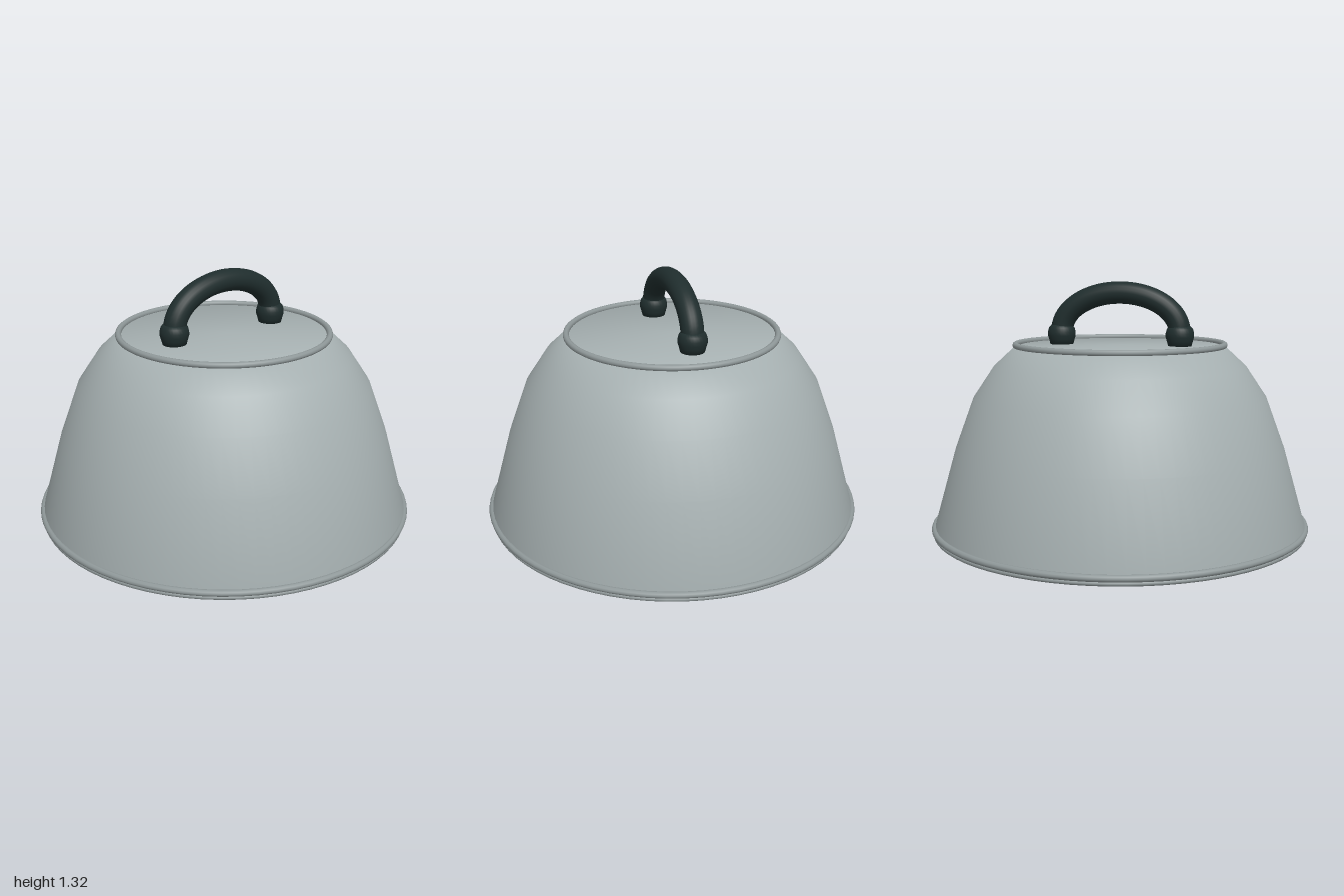
import * as THREE from 'three';

const SEGMENTS = 72;

// Lathe whose normals blend neighbouring profile segments equally, for a soft shoulder
function softLathe(profile) {
  const geometry = new THREE.LatheGeometry(profile.map(([r, y]) => new THREE.Vector2(r, y)), SEGMENTS);
  const n = profile.length;
  const edges = profile.slice(1).map(([r, y], i) =>
    new THREE.Vector2(y - profile[i][1], profile[i][0] - r).normalize());
  const normals = geometry.attributes.normal;
  for (let j = 0; j < n; j++) {
    const v = new THREE.Vector2();
    if (j > 0) v.add(edges[j - 1]);
    if (j < n - 1) v.add(edges[j]);
    v.normalize();
    for (let i = 0; i <= SEGMENTS; i++) {
      const a = (i / SEGMENTS) * Math.PI * 2;
      normals.setXYZ(i * n + j, v.x * Math.sin(a), v.y, v.x * Math.cos(a));
    }
  }
  return geometry;
}

export function createModel() {
  const model = new THREE.Group();
  model.name = 'domedCover';

  const metal = new THREE.MeshStandardMaterial({ color: 0xa6b0b1, side: THREE.DoubleSide });
  metal.name = 'brushed metal';
  const rimMetal = new THREE.MeshStandardMaterial({ color: 0x8f9899 });
  rimMetal.name = 'rim metal';
  const grip = new THREE.MeshStandardMaterial({ color: 0x1f2d2d });
  grip.name = 'dark grip';

  const add = (name, geometry, material, parent = model) => {
    const mesh = new THREE.Mesh(geometry, material);
    mesh.name = name;
    parent.add(mesh);
    return mesh;
  };

  // Open-bottomed shell with a flat top
  add('shell', softLathe([
    [0.98, 0.01], [0.98, 0.05], [0.866, 0.455], [0.77, 0.717],
    [0.663, 0.877], [0.55, 0.982], [0, 0.988],
  ]), metal);

  // Rolled rims: two beads at the base, one around the top
  const rims = [
    ['baseBead', 0.983, 0.037, 0.017],
    ['baseLip', 0.979, 0.012, 0.012],
    ['topBead', 0.548, 0.988, 0.016],
  ];
  for (const [name, radius, y, tube] of rims) {
    const rim = add(name, new THREE.TorusGeometry(radius, tube, 10, SEGMENTS), rimMetal);
    rim.rotation.x = Math.PI / 2;
    rim.position.y = y;
  }

  // Arched handle
  const handle = new THREE.Group();
  handle.name = 'handle';
  model.add(handle);
  const arch = [];
  for (let i = 0; i <= 16; i++) {
    const a = Math.PI * (1 - i / 16);
    arch.push(new THREE.Vector3(0.317 * Math.cos(a), 1.055 + 0.203 * Math.sin(a), 0));
  }
  add('handleArch', new THREE.TubeGeometry(new THREE.CatmullRomCurve3(arch), 48, 0.058, 20), grip, handle);

  // Rounded feet where the handle meets the top
  const foot = [[0, 0.98], [0.06, 0.98], [0.068, 1.01], [0.074, 1.03], [0.074, 1.05],
    [0.068, 1.072], [0.056, 1.086], [0, 1.09]].map(([r, y]) => new THREE.Vector2(r, y));
  for (const side of [-1, 1]) {
    add(side > 0 ? 'leftFoot' : 'rightFoot', new THREE.LatheGeometry(foot, 28), grip, handle)
      .position.x = side * 0.319;
  }

  return model;
}
